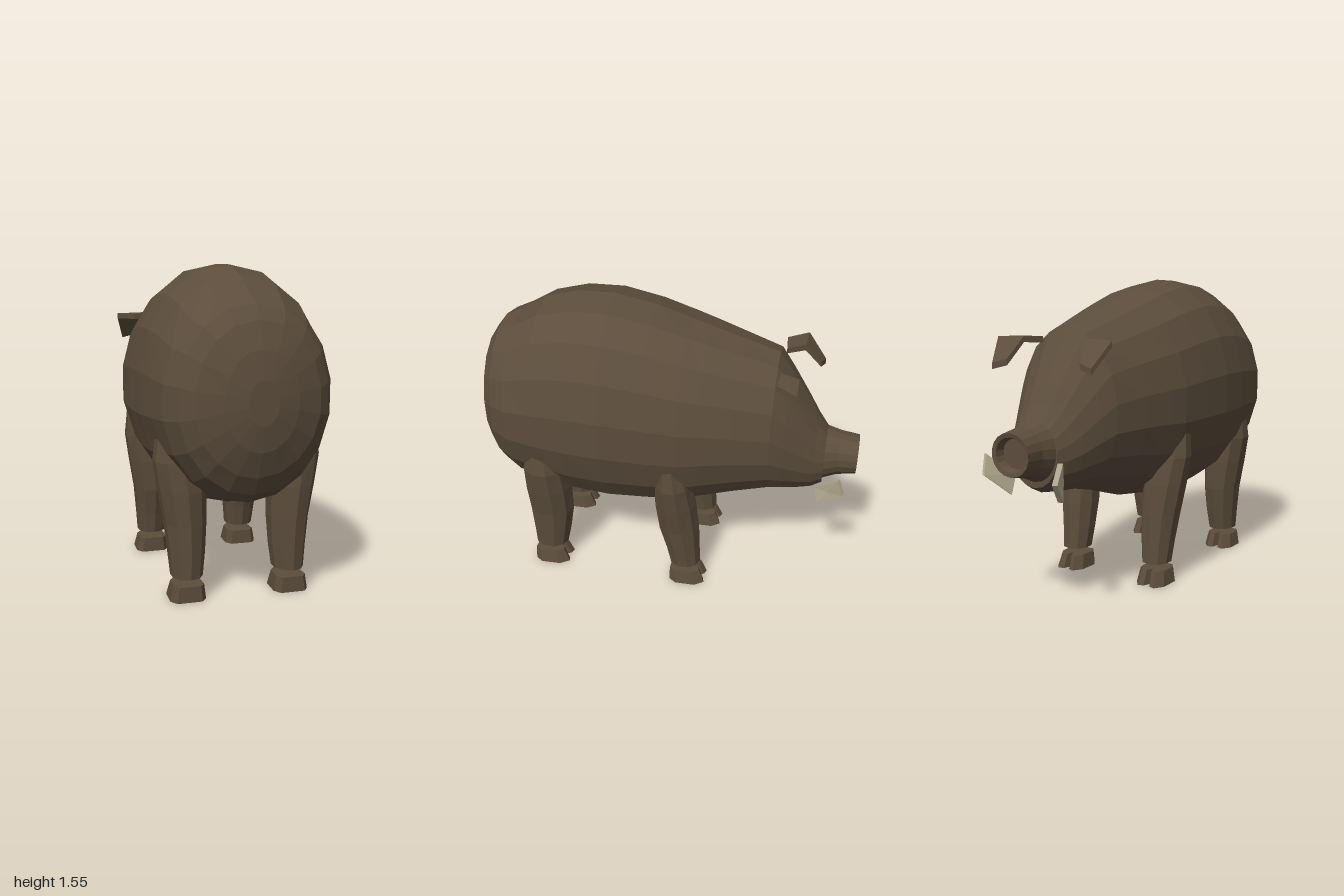
import * as THREE from 'three';

const hide = new THREE.MeshStandardMaterial({ color: 0x5c4d3c });
const ivory = new THREE.MeshStandardMaterial({ color: 0xbdb396 });
hide.name = 'brownHide';
ivory.name = 'ivory';
const V = (x, y, z) => new THREE.Vector3(x, y, z);

// Faceted, capped skin through a list of equal-length rings, always facing outward
function loft(name, rings, material) {
  const tris = [];
  const n = rings[0].length;
  const centre = (r) => r.reduce((s, p) => s.add(p), V(0, 0, 0)).divideScalar(n);
  const first = rings[0], last = rings[rings.length - 1];
  const c0 = centre(first), c1 = centre(last);
  for (let i = 0; i < n; i++) {
    const j = (i + 1) % n;
    for (let k = 0; k + 1 < rings.length; k++) {
      const a = rings[k], b = rings[k + 1];
      tris.push([a[i], b[i], a[j]], [a[j], b[i], b[j]]);
    }
    tris.push([c0, first[i], first[j]], [c1, last[j], last[i]]);
  }
  const volume = tris.reduce((s, [a, b, c]) => s + a.clone().sub(c0).dot(b.clone().sub(c0).cross(c.clone().sub(c0))), 0);
  const pts = tris.flatMap(([a, b, c]) => (volume < 0 ? [a, c, b] : [a, b, c]));
  const geometry = new THREE.BufferGeometry().setFromPoints(pts);
  geometry.computeVertexNormals();
  const mesh = new THREE.Mesh(geometry, material);
  mesh.name = name;
  return mesh;
}

// Upright body ring; the widest height sits between top and bottom
function bodyRing([z, top, bottom, half, mid]) {
  return Array.from({ length: 18 }, (_, i) => {
    const a = (i / 18) * Math.PI * 2 + Math.PI / 2;
    const s = Math.sin(a), c = Math.cos(a);
    const x = half * Math.sign(c) * Math.pow(Math.abs(c), s > 0 ? 0.9 : 1);
    return V(x, mid + s * (s > 0 ? top - mid : mid - bottom), z);
  });
}

// Horizontal leg ring from its x and z limits
function legRing(side, [y, x0, x1, z0, z1]) {
  return Array.from({ length: 10 }, (_, i) => {
    const a = ((i + 0.5) / 10) * Math.PI * 2;
    return V(side * ((x0 + x1) / 2 + Math.cos(a) * (x1 - x0) / 2 * 1.05), y,
      (z0 + z1) / 2 + Math.sin(a) * (z1 - z0) / 2);
  });
}

export function createModel() {
  const boar = new THREE.Group();
  boar.name = 'boar';

  // Rump, back, belly and head: z, top, bottom, half width, widest height
  boar.add(loft('body', [
    [1.0, 1.06, 0.86, 0.07, 0.96],
    [0.98, 1.19, 0.74, 0.17, 0.96],
    [0.935, 1.31, 0.62, 0.29, 0.95],
    [0.88, 1.38, 0.53, 0.35, 0.95],
    [0.79, 1.42, 0.475, 0.4, 0.95],
    [0.66, 1.5, 0.45, 0.425, 0.95],
    [0.48, 1.55, 0.4, 0.44, 0.95],
    [0.29, 1.555, 0.385, 0.445, 0.95],
    [0.08, 1.515, 0.4, 0.43, 0.94],
    [-0.1, 1.46, 0.42, 0.41, 0.93],
    [-0.2, 1.43, 0.45, 0.385, 0.93],
    [-0.36, 1.38, 0.5, 0.34, 0.92],
    [-0.54, 1.325, 0.545, 0.285, 0.9],
    [-0.61, 1.225, 0.55, 0.25, 0.86],
    [-0.7, 1.085, 0.56, 0.2, 0.8],
    [-0.76, 0.985, 0.57, 0.165, 0.77],
    [-0.81, 0.915, 0.6, 0.135, 0.76],
  ].map(bodyRing), hide));

  // Snout with a sunken nose disc
  boar.add(loft('snout', [
    [-0.79, 0.92, 0.62, 0.135, 0.77],
    [-0.88, 0.895, 0.66, 0.11, 0.78],
    [-0.975, 0.88, 0.68, 0.105, 0.78],
    [-0.97, 0.86, 0.7, 0.085, 0.78],
    [-0.93, 0.85, 0.71, 0.075, 0.78],
  ].map(bodyRing), hide));

  // Leg sections: y, inner x, outer x, front z, rear z
  const legs = {
    frontLeg: [
      [0.11, 0.18, 0.325, -0.21, -0.04], [0.22, 0.168, 0.335, -0.205, -0.015],
      [0.36, 0.16, 0.35, -0.2, 0.025], [0.52, 0.16, 0.378, -0.185, 0.04],
      [0.66, 0.18, 0.4, -0.16, 0.035], [0.8, 0.22, 0.39, -0.12, 0.02],
    ],
    rearLeg: [
      [0.11, 0.18, 0.325, 0.555, 0.74], [0.22, 0.168, 0.335, 0.53, 0.745],
      [0.36, 0.16, 0.35, 0.505, 0.752], [0.52, 0.16, 0.378, 0.5, 0.758],
      [0.66, 0.18, 0.4, 0.51, 0.75], [0.8, 0.22, 0.385, 0.54, 0.72],
    ],
  };
  // Half of the cloven hoof outline, from heel to cleft
  const toe = [[0.7, 1], [1, 0.6], [0.95, -0.5], [0.55, -1], [0.2, -0.9]];
  const hoofOutline = [...toe, [0, -0.45], ...toe.map(([u, w]) => [-u, w]).reverse()];
  const hoofRing = (x, y, z, rx, rz) => hoofOutline.map(([u, w]) => V(x + u * rx, y, z + w * rz));

  for (const side of [1, -1]) {
    const label = side > 0 ? 'left' : 'right';
    for (const [name, rows] of Object.entries(legs)) {
      const part = name[0].toUpperCase() + name.slice(1);
      boar.add(loft(label + part, rows.map((r) => legRing(side, r)), hide));
      const z = name === 'frontLeg' ? -0.145 : 0.635;
      boar.add(loft(label + part + 'Hoof', [
        hoofRing(side * 0.255, 0, z, 0.086, 0.096),
        hoofRing(side * 0.253, 0.075, z + 0.015, 0.073, 0.08),
      ], hide));
    }

    // Ear: thin bent plate sloping forward and outward
    const earRows = [
      [0.13, 1.25, -0.56, 0.25, 1.25, -0.55],
      [0.175, 1.255, -0.65, 0.33, 1.25, -0.655],
      [0.21, 1.15, -0.735, 0.285, 1.13, -0.755],
    ];
    boar.add(loft(label + 'Ear', earRows.map(([ax, ay, az, bx, by, bz]) => [
      V(side * ax, ay, az), V(side * bx, by, bz),
      V(side * bx, by + 0.03, bz), V(side * ax, ay + 0.03, az),
    ]), hide));

    // Tusk: flat blade rising forward from the jaw
    const blade = [[0.125, 0.64, -0.79], [0.135, 0.55, -0.81], [0.195, 0.66, -0.93], [0.205, 0.755, -0.9]];
    boar.add(loft(label + 'Tusk', [0, 0.022].map((t) =>
      blade.map(([x, y, z]) => V(side * (x + t), y, z + t * 0.5))), ivory));
  }
  return boar;
}
